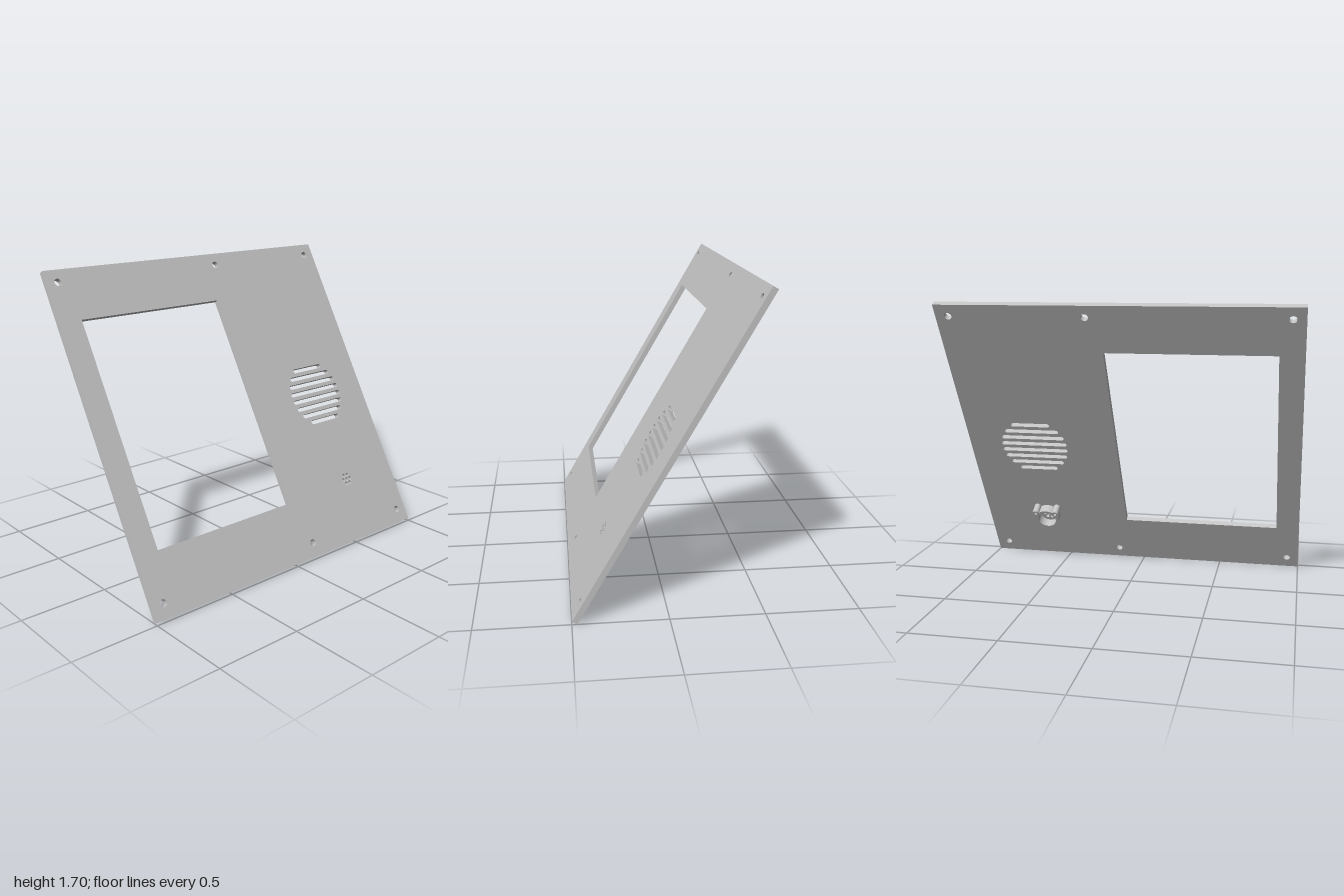
import * as THREE from 'three';

const T = 0.032;          // panel thickness
const W = 1, L = 1.944;   // half width, sloped length
const MIC = { x: 0.597, y: 0.368 };

const circle = (P, x, y, r) => {
  const p = new P();
  p.absarc(x, y, r, 0, Math.PI * 2, false);
  return p;
};

const rect = (P, x0, y0, x1, y1) => {
  const p = new P();
  p.moveTo(x0, y0);
  p.lineTo(x1, y0);
  p.lineTo(x1, y1);
  p.lineTo(x0, y1);
  p.closePath();
  return p;
};

// Slot with rounded ends
const slot = (x, y, half, r) => {
  const p = new THREE.Path();
  p.absarc(x + half - r, y, r, -Math.PI / 2, Math.PI / 2, false);
  p.absarc(x - half + r, y, r, Math.PI / 2, Math.PI * 1.5, false);
  p.closePath();
  return p;
};

export function createModel() {
  const model = new THREE.Group();
  model.name = 'controlPanel';
  const grey = new THREE.MeshStandardMaterial({ color: 0xc0c0c0 });
  grey.name = 'light grey';

  // Panel space: y runs up the slope, z points out of the front face
  const tilted = new THREE.Group();
  tilted.name = 'tiltedPanel';
  tilted.rotation.x = -Math.PI / 6;
  tilted.position.z = 0.472;
  model.add(tilted);

  const extrude = (name, shape, depth, z) => {
    const geometry = new THREE.ExtrudeGeometry(shape, { depth, bevelEnabled: false, curveSegments: 20 });
    const mesh = new THREE.Mesh(geometry, grey);
    mesh.name = name;
    mesh.position.z = z;
    tilted.add(mesh);
  };

  // Face plate with display window
  const plate = rect(THREE.Shape, -W, 0, W, L);
  plate.holes.push(rect(THREE.Path, -0.863, 0.345, 0.085, 1.644));

  // Screw holes
  for (const x of [-0.93, 0.16, 0.927])
    for (const y of [0.08, 1.871]) plate.holes.push(circle(THREE.Path, x, y, 0.021));

  // Speaker grille slots, mirrored about the grille centre
  [0.205, 0.195, 0.167, 0.12].forEach((half, i) => {
    for (const s of [-1, 1])
      plate.holes.push(slot(MIC.x, 0.941 + s * (i + 0.5) * 0.0487, half, 0.013));
  });

  // Microphone holes: one in the middle, six around it
  plate.holes.push(circle(THREE.Path, MIC.x, MIC.y, 0.012));
  for (let i = 0; i < 6; i++) {
    const a = i * Math.PI / 3;
    plate.holes.push(circle(THREE.Path, MIC.x + 0.029 * Math.cos(a), MIC.y + 0.029 * Math.sin(a), 0.012));
  }
  extrude('facePlate', plate, T, 0);

  // Microphone holder ring on the back
  const ring = circle(THREE.Shape, MIC.x, MIC.y, 0.075);
  ring.holes.push(circle(THREE.Path, MIC.x, MIC.y, 0.058));
  extrude('microphoneRing', ring, 0.058, -0.058);

  // Screw bosses beside the ring
  for (const s of [-1, 1]) {
    const x = MIC.x + s * 0.064, y = MIC.y + 0.062;
    const boss = circle(THREE.Shape, x, y, 0.021);
    boss.holes.push(circle(THREE.Path, x, y, 0.009));
    extrude(s < 0 ? 'rightScrewBoss' : 'leftScrewBoss', boss, 0.071, -0.071);
  }
  return model;
}
